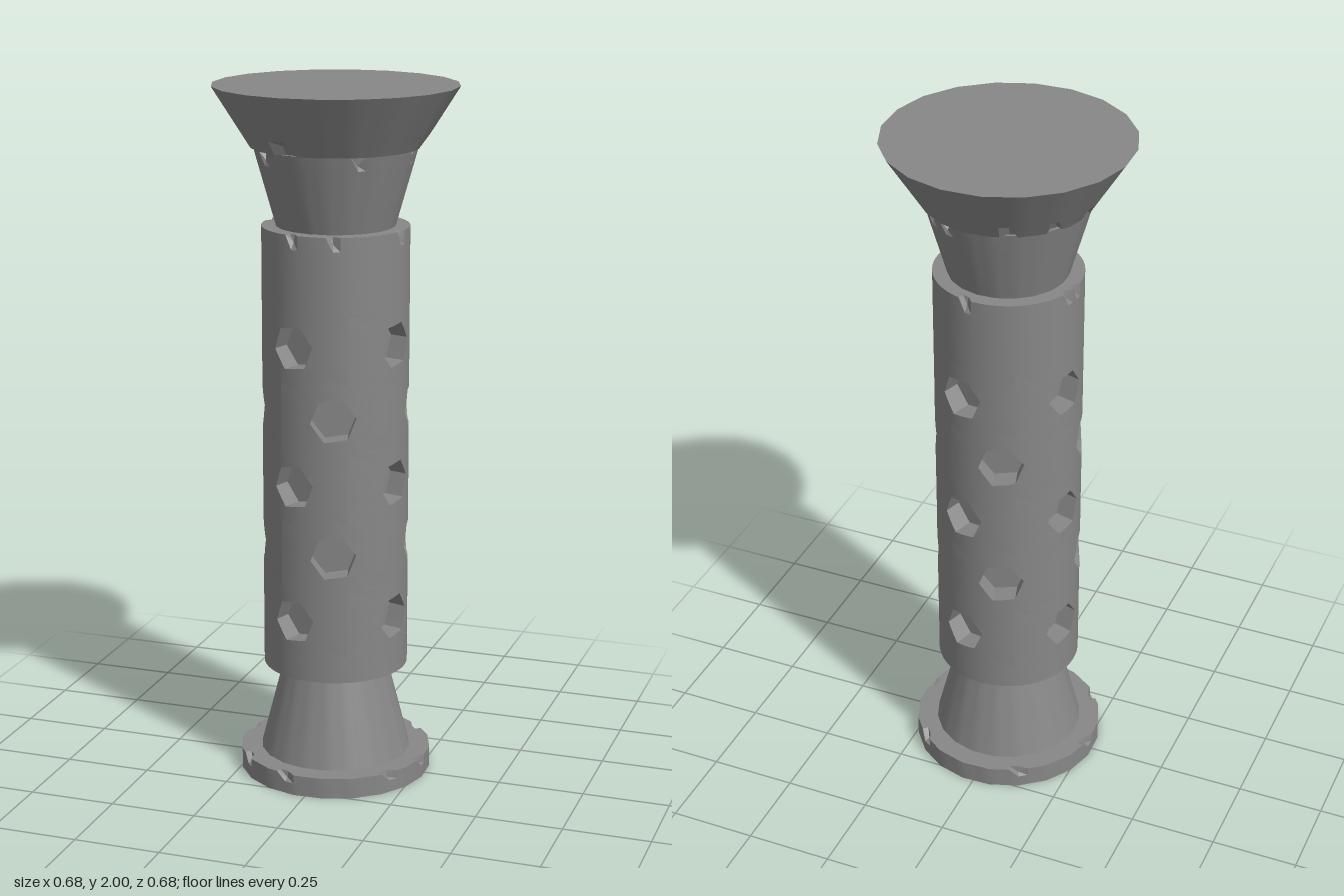
import * as THREE from 'three';
import { toCreasedNormals } from 'three/addons/utils/BufferGeometryUtils.js';

const material = new THREE.MeshStandardMaterial({ color: 0x878787 });
const rad = THREE.MathUtils.degToRad;
const R = 0.208;           // shaft radius
const ROUND = 64;          // segments around the shaft
const STEP = 360 / ROUND;
const ROW = 0.199;         // spacing of the rows of sockets
const FIRST = 0.498;       // height of the lowest row

// Turned part, either round or with 20 flat sides of three segments each.
// Each chip moves one rim point: [profile row, angle in degrees, depth, lift].
function turned(name, profile, faceted, chips = []) {
  const segments = faceted ? 60 : ROUND;
  const phase = faceted ? 11 : 0;
  const n = profile.length;
  const points = profile.map(([r, y]) => new THREE.Vector2(r, y));
  const geo = new THREE.LatheGeometry(points, segments, rad(phase));
  const pos = geo.attributes.position;
  const move = (i, k, lift) =>
    pos.setXYZ(i, pos.getX(i) * k, pos.getY(i) + lift, pos.getZ(i) * k);

  if (faceted) {
    for (let i = 0; i < pos.count; i++) {
      const local = (Math.floor(i / n) % 3) * 6 - 9;
      move(i, Math.cos(rad(9)) / Math.cos(rad(local)), 0);
    }
  }
  for (const [row, angle, depth, lift] of chips) {
    const turn = (angle - phase + 720) % 360;
    const s = Math.round(turn * segments / 360) % segments;
    for (const column of s === 0 ? [0, segments] : [s]) {
      move(column * n + row, 1 - depth / profile[row][0], lift);
    }
  }
  const mesh = new THREE.Mesh(toCreasedNormals(geo, rad(25)), material);
  mesh.name = name;
  return mesh;
}

// Quarter-turn panel of the shaft with one hexagonal socket sunk in its middle
function socketPanel() {
  const hexR = 0.066, tilt = 8, floorZ = 0.145, rings = 5;
  const across = ROUND / 4, up = 4;
  const halfW = R * Math.PI / 4, halfH = ROW / 2;

  // panel edge, anticlockwise from the lower left corner
  const edge = [];
  for (let i = 0; i < across; i++) edge.push([halfW * (2 * i / across - 1), -halfH]);
  for (let i = 0; i < up; i++) edge.push([halfW, halfH * (2 * i / up - 1)]);
  edge.push(...edge.map(([u, v]) => [-u, -v]));

  // socket rim: one point per edge point, with the nearest moved to each corner
  const rim = edge.map(([u, v]) => {
    const a = Math.atan2(v, u);
    const side = (((a - rad(tilt)) % rad(60)) + rad(60)) % rad(60) - rad(30);
    const d = hexR * Math.cos(rad(30)) / Math.cos(side);
    return [d * Math.cos(a), d * Math.sin(a)];
  });
  for (let c = 0; c < 6; c++) {
    const x = hexR * Math.cos(rad(c * 60 + tilt)), y = hexR * Math.sin(rad(c * 60 + tilt));
    const gaps = rim.map(([u, v]) => Math.hypot(u - x, v - y));
    rim[gaps.indexOf(Math.min(...gaps))] = [x, y];
  }

  // point on the curved wall: k = 0 on the rim, k = 1 on the panel edge
  const wall = (i, k) => {
    const u = THREE.MathUtils.lerp(rim[i][0], edge[i][0], k);
    const v = THREE.MathUtils.lerp(rim[i][1], edge[i][1], k);
    return [R * Math.sin(u / R), v, R * Math.cos(u / R)];
  };
  const verts = [];
  const tri = (a, b, c) => verts.push(...a, ...b, ...c);
  const quad = (a, b, c, d) => { tri(a, b, c); tri(a, c, d); };
  for (let a = 0; a < edge.length; a++) {
    const b = (a + 1) % edge.length;
    for (let r = 0; r < rings; r++) {
      const k0 = r / rings, k1 = (r + 1) / rings;
      quad(wall(a, k0), wall(a, k1), wall(b, k1), wall(b, k0));
    }
    // socket side and floor
    const ra = wall(a, 0), rb = wall(b, 0);
    const fa = [ra[0], ra[1], floorZ], fb = [rb[0], rb[1], floorZ];
    quad(ra, rb, fb, fa);
    tri([0, 0, floorZ], fa, fb);
  }
  const geo = new THREE.BufferGeometry();
  geo.setAttribute('position', new THREE.Float32BufferAttribute(verts, 3));
  return toCreasedNormals(geo, rad(35));
}

export function createModel() {
  const model = new THREE.Group();
  model.name = 'column';

  // Foot: round plinth and tapering pedestal
  model.add(turned('plinth',
    [[0, 0], [0.278, 0], [0.278, 0.035], [0.278, 0.06], [0.26, 0.06], [0, 0.06]], true,
    [-95, -52, -15, 52, 82, 135, 210].map((a) => [3, a, 0.014, -0.018])));
  model.add(turned('pedestal', [[0.218, 0.06], [0.15, 0.325]], true));

  // Shaft: plain ends with staggered rows of sockets between them
  const low = FIRST - ROW / 2, high = FIRST + 4.5 * ROW;
  model.add(turned('shaftBottom', [[0, 0.325], [R, 0.325], [R, low]], false));
  model.add(turned('shaftTop',
    [[R, high], [R, 1.57], [R, 1.61], [0.19, 1.61], [0, 1.61]], false,
    [-95, -17, 17, 78, 170, 255].map((a) => [2, a, 0.012, -0.02])));
  const sockets = new THREE.Group();
  sockets.name = 'socketRows';
  const panel = socketPanel();
  for (let row = 0; row < 5; row++) {
    for (let i = 0; i < 4; i++) {
      const mesh = new THREE.Mesh(panel, material);
      mesh.name = 'socketPanel';
      mesh.position.y = FIRST + row * ROW;
      mesh.rotation.y = rad((row % 2 ? 3 : -3) * STEP + i * 90);
      sockets.add(mesh);
    }
  }
  model.add(sockets);

  // Capital: flaring neck under a wide flat-topped head, chipped along the joint
  model.add(turned('neck',
    [[0.168, 1.61], [0.219, 1.79], [0.23, 1.83], [0, 1.83]], true,
    [-70, -45, 35, 90, 135, 155].map((a) => [2, a, 0.015, -0.025])));
  model.add(turned('head',
    [[0, 1.83], [0.22, 1.83], [0.238, 1.83], [0.263, 1.87], [0.345, 2], [0, 2]], true,
    [-160, -130, -95, -19, -13, 100].map((a) => [2, a, 0.004, 0.025])));
  return model;
}
